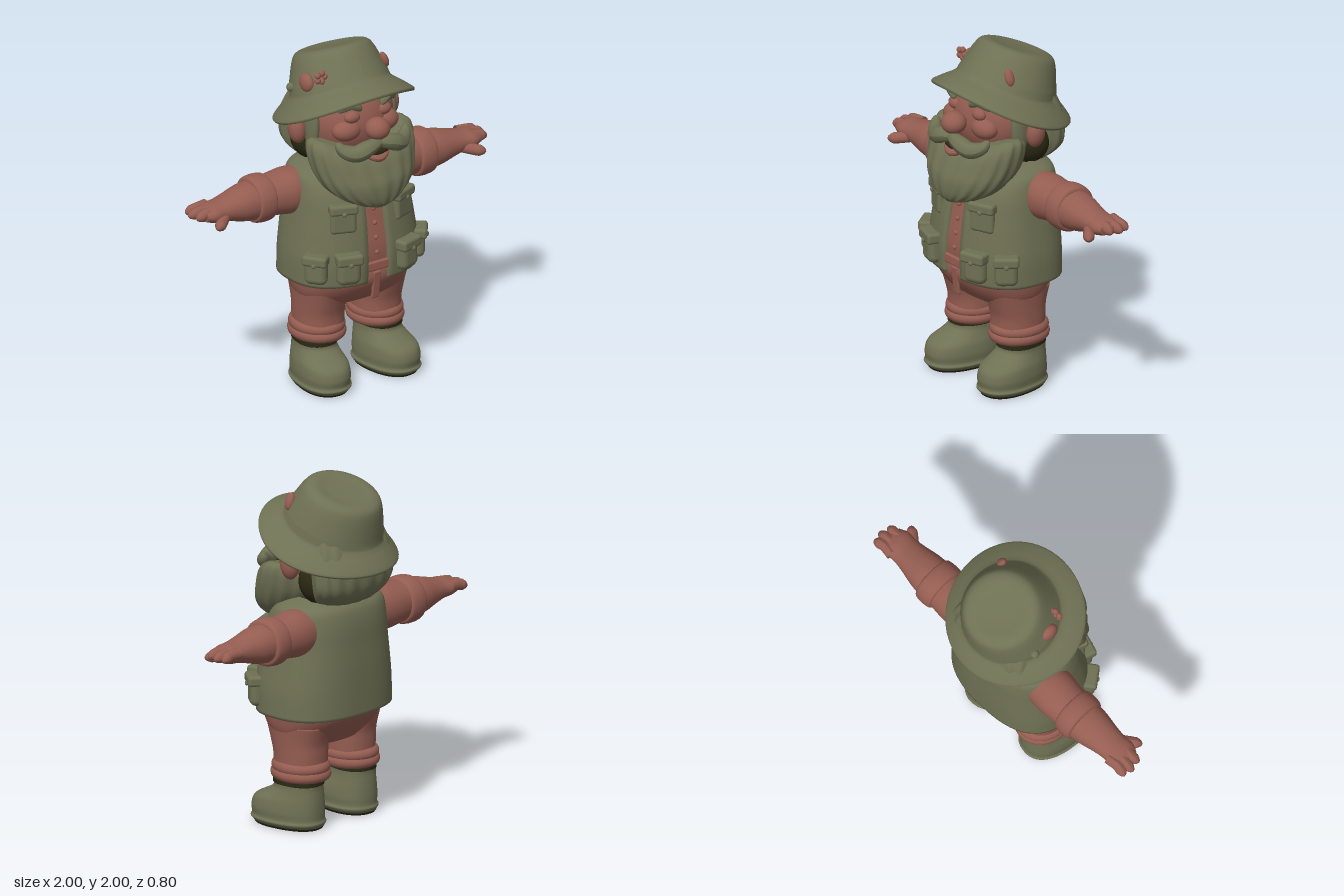
import * as THREE from 'three';
import { RoundedBoxGeometry } from 'three/addons/geometries/RoundedBoxGeometry.js';

const mat = (name, color) => Object.assign(new THREE.MeshStandardMaterial({ color, side: THREE.DoubleSide }), { name });
const spow = (v, e) => Math.sign(v) * Math.abs(v) ** e;

// Smooth grid of vertices from fn(column, row) -> [x, y, z]
function grid(nu, nv, fn, wrap) {
  const pos = [], idx = [], cols = wrap ? nu : nu + 1;
  for (let j = 0; j <= nv; j++) for (let i = 0; i < cols; i++) pos.push(...fn(i, j));
  for (let j = 0; j < nv; j++) for (let i = 0; i < nu; i++) {
    const k = (i + 1) % cols, a = j * cols + i, b = j * cols + k, c = b + cols, d = a + cols;
    idx.push(a, b, c, a, c, d);
  }
  const g = new THREE.BufferGeometry();
  g.setAttribute('position', new THREE.Float32BufferAttribute(pos, 3));
  g.setIndex(idx);
  g.computeVertexNormals();
  return g;
}

// Catmull-Rom blend of rings [y, halfWidth, zFront, zBack], u in 0..1
function ringAt(rings, u) {
  const f = u * (rings.length - 1), i = Math.min(Math.floor(f), rings.length - 2), t = f - i;
  const R = k => rings[Math.max(0, Math.min(rings.length - 1, k))];
  return R(i).map((b, c) => {
    const a = R(i - 1)[c], d = R(i + 1)[c], e = R(i + 2)[c];
    return b + 0.5 * t * (d - a + t * (2 * a - 5 * b + 4 * d - e + t * (3 * (b - d) + e - a)));
  });
}
const ringPoint = ([y, w, zf, zb], t, e, k = 1) =>
  [k * w * spow(Math.sin(t), e), y, (zf + zb) / 2 + k * (zf - zb) / 2 * spow(Math.cos(t), e)];

// Closed body through the rings
function loft(rings, e = 0.9, warp = (p) => p, n = 48) {
  const nv = rings.length * 5;
  return grid(n, nv + 2, (i, j) => {
    const v = Math.max(0, Math.min(nv, j - 1)), t = i / n * Math.PI * 2;
    const k = j === 0 || j === nv + 2 ? 0.001 : 1;
    return warp(ringPoint(ringAt(rings, v / nv), t, e, k), t);
  }, true);
}

// Tube along points whose radius swells and tapers
function taper(points, r, shape = u => Math.sqrt(Math.sin(Math.PI * u)), flat = 1) {
  const path = new THREE.CatmullRomCurve3(points.map(p => new THREE.Vector3(...p)));
  const seg = 24, rad = 12, g = new THREE.TubeGeometry(path, seg, r, rad), a = g.attributes.position;
  const v = new THREE.Vector3();
  for (let i = 0; i <= seg; i++) {
    const c = path.getPointAt(i / seg), f = Math.max(0.01, shape(i / seg));
    for (let j = 0; j <= rad; j++) {
      const k = i * (rad + 1) + j;
      v.fromBufferAttribute(a, k).sub(c).multiplyScalar(f);
      v.z *= flat;
      v.add(c);
      a.setXYZ(k, v.x, v.y, v.z);
    }
  }
  g.computeVertexNormals();
  return g;
}
const finger = u => Math.min(1, Math.sqrt(Math.max(0, (1 - u) * 4)));

export function createModel() {
  const root = new THREE.Group();
  const olive = mat('olive', 0x6f7154), skin = mat('terracotta', 0x955d51), dark = mat('darkOlive', 0x2b2914);
  const add = (name, geo, m, p = [0, 0, 0], parent = root) => {
    const o = new THREE.Mesh(geo, m);
    o.name = name;
    o.position.set(...p);
    parent.add(o);
    return o;
  };
  const ball = (name, m, p, r, parent) => {
    const o = add(name, new THREE.SphereGeometry(1, 32, 20), m, p, parent);
    o.scale.set(...r);
    return o;
  };
  const group = (name, p, parent = root) => {
    const g = new THREE.Group();
    g.name = name;
    g.position.set(...p);
    parent.add(g);
    return g;
  };

  // Trousers seat and shirt
  add('trousers', loft([[0.48, 0.22, 0.15, -0.12], [0.54, 0.325, 0.24, -0.17], [0.65, 0.36, 0.315, -0.25],
    [0.75, 0.355, 0.31, -0.25], [0.85, 0.33, 0.29, -0.24]], 0.88), skin);
  add('fly', new RoundedBoxGeometry(0.05, 0.17, 0.02, 3, 0.009), skin, [0, 0.63, 0.305]).rotation.x = 0.12;
  add('shirt', loft([[0.72, 0.36, 0.31, -0.25], [0.85, 0.36, 0.315, -0.25], [1.0, 0.34, 0.29, -0.25],
    [1.2, 0.31, 0.24, -0.23], [1.28, 0.2, 0.15, -0.16]], 0.8), skin);
  add('belt', new RoundedBoxGeometry(0.17, 0.055, 0.03, 3, 0.01), skin, [0, 0.75, 0.315]);
  for (let i = 0; i < 4; i++) ball('shirtButton', skin, [0, 0.83 + i * 0.085, 0.316 - i * 0.011], [0.014, 0.014, 0.012]);

  // Open vest with turned-in hem and front edges
  const vestRings = [[0.66, 0.4, 0.33, -0.28], [0.8, 0.397, 0.337, -0.28], [0.93, 0.38, 0.325, -0.278], [1.06, 0.362, 0.305, -0.272],
    [1.19, 0.345, 0.27, -0.265], [1.28, 0.315, 0.2, -0.24], [1.325, 0.21, 0.12, -0.18]];
  const vestPoint = (t, u, k) => ringPoint(ringAt(vestRings, u), t, 0.8, k);
  const gap = 0.115, nu = 80, nv = 36;
  add('vest', grid(nu + 2, nv + 1, (i, j) => {
    const t = gap + Math.max(0, Math.min(nu, i - 1)) / nu * (2 * Math.PI - 2 * gap);
    const inside = i === 0 || i === nu + 2 || j === 0;
    return vestPoint(t, Math.max(0, j - 1) / nv, inside ? 0.92 : 1);
  }, false), olive);

  // Pockets set square to the vest surface
  function pocket(s, x, y, w, h, depth) {
    const u = (y - 0.66) / (0.13 * 6), ring = ringAt(vestRings, u);
    const t = Math.asin((x / ring[1]) ** 1.25);
    const p = vestPoint(t, u), q = vestPoint(t + 0.02, u);
    const g = group('pocket', [s * p[0], y, p[2]]);
    g.rotation.y = s * Math.atan2(p[2] - q[2], q[0] - p[0]);
    add('pouch', new RoundedBoxGeometry(w, h, depth, 4, depth * 0.45), olive, [0, -0.01, 0], g);
    add('flap', new RoundedBoxGeometry(w + 0.015, h * 0.38, depth + 0.02, 4, 0.018), olive, [0, h * 0.36, 0.004], g);
    ball('button', olive, [0, h * 0.22, depth / 2 + 0.012], [0.014, 0.014, 0.01], g);
  }

  for (const s of [1, -1]) {
    pocket(s, 0.2, 1.07, 0.15, 0.16, 0.05);
    pocket(s, 0.195, 0.78, 0.14, 0.17, 0.09);
    pocket(s, 0.345, 0.78, 0.13, 0.16, 0.08);

    // Leg and rolled cuff
    add('leg', loft([[0.3, 0.135, 0.165, -0.14], [0.42, 0.138, 0.165, -0.145], [0.5, 0.142, 0.185, -0.15],
      [0.6, 0.15, 0.22, -0.18]]), skin, [s * 0.193, 0, 0.01]);
    for (const [y, r] of [[0.31, 0.122], [0.352, 0.117]]) {
      const cuff = add('trouserCuff', new THREE.TorusGeometry(r, 0.036, 14, 40), skin, [s * 0.197, y, 0.015]);
      cuff.rotation.x = Math.PI / 2;
      cuff.scale.y = 1.14;
    }

    // Boot, toes turned slightly out
    const boot = group('boot', [s * 0.215, 0, 0.015], root);
    boot.rotation.y = s * 0.13;
    add('bootBody', loft([[0.012, 0.13, 0.275, -0.145], [0.035, 0.148, 0.296, -0.157], [0.055, 0.14, 0.288, -0.15],
      [0.1, 0.143, 0.292, -0.15], [0.155, 0.137, 0.27, -0.148], [0.198, 0.123, 0.19, -0.145],
      [0.235, 0.115, 0.142, -0.142], [0.28, 0.115, 0.145, -0.145]], 0.86), olive, [0, 0, 0], boot);
    add('sole', loft([[0, 0.125, 0.27, -0.14], [0.014, 0.135, 0.28, -0.148]], 0.86), dark, [0, 0, 0], boot);
    add('bootLining', loft([[0.255, 0.117, 0.147, -0.147], [0.285, 0.117, 0.147, -0.147]], 0.86), dark, [0, 0, 0], boot);

    // Arm lofted along x
    const arm = group('arm', [0, 1.16, -0.06]);
    const limb = (name, rings) => { add(name, loft(rings, 0.95), skin, [0, 0, 0], arm).rotation.z = -s * Math.PI / 2; };
    limb('sleeve', [[0.26, 0.125, 0.125, -0.125], [0.35, 0.132, 0.132, -0.132], [0.43, 0.122, 0.122, -0.13], [0.52, 0.112, 0.11, -0.12]]);
    limb('sleeveCuff', [[0.488, 0.115, 0.11, -0.12], [0.5, 0.132, 0.128, -0.138], [0.545, 0.137, 0.132, -0.145],
      [0.592, 0.13, 0.126, -0.14], [0.604, 0.112, 0.11, -0.12]]);
    limb('forearmAndHand', [[0.57, 0.112, 0.115, -0.125], [0.66, 0.102, 0.11, -0.115], [0.75, 0.078, 0.095, -0.095],
      [0.82, 0.06, 0.088, -0.085], [0.88, 0.052, 0.09, -0.088], [0.93, 0.036, 0.07, -0.075]]);
    [[0.985, -0.064, -0.072], [1, -0.02, -0.015], [0.985, 0.03, 0.042]].forEach(([x, z, z0]) =>
      add('finger', taper([[s * 0.85, 0.015, z0], [s * 0.92, 0.012, z], [s * x, -0.005, z * 1.2]], 0.032, finger), skin, [0, 0, 0], arm));
    add('thumb', taper([[s * 0.8, -0.02, 0.05], [s * 0.86, -0.035, 0.1], [s * 0.91, -0.045, 0.138]], 0.032, finger), skin, [0, 0, 0], arm);

    // Ear, cheek, closed eye, brow, sideburn
    ball('ear', skin, [s * 0.315, 1.54, -0.01], [0.05, 0.085, 0.055]).rotation.z = -s * 0.15;
    ball('cheek', skin, [s * 0.125, 1.565, 0.2], [0.09, 0.065, 0.07]);
    ball('eyelid', skin, [s * 0.105, 1.645, 0.225], [0.05, 0.035, 0.035]);
    add('eyebrow', taper([[s * 0.065, 1.69, 0.262], [s * 0.12, 1.73, 0.245], [s * 0.19, 1.685, 0.205]], 0.032,
      u => Math.sqrt(Math.sin(Math.PI * u)) * (1.05 - 0.3 * u)), olive);
    ball('sideburn', olive, [s * 0.26, 1.58, 0.055], [0.035, 0.16, 0.06]);
    add('moustache', taper([[0, 1.51, 0.335], [s * 0.07, 1.495, 0.345], [s * 0.15, 1.468, 0.325], [s * 0.21, 1.49, 0.285],
      [s * 0.235, 1.535, 0.255]], 0.05, u => u < 0.35 ? 0.65 + u : Math.sqrt(1 - ((u - 0.35) / 0.65) ** 2)), olive);
    ball('neckShade', dark, [s * 0.12, 1.44, -0.09], [0.165, 0.15, 0.12]);
  }

  // Head, nose and mouth
  ball('head', skin, [0, 1.58, 0.03], [0.265, 0.25, 0.235]);
  ball('nose', skin, [0, 1.585, 0.32], [0.072, 0.064, 0.072]);
  ball('mouth', dark, [0, 1.443, 0.325], [0.07, 0.022, 0.02]);
  add('lowerLip', taper([[-0.08, 1.437, 0.318], [0, 1.412, 0.342], [0.08, 1.437, 0.318]], 0.022), skin);

  // Beard with soft locks, rising toward the ears
  add('beard', loft([[1.12, 0.05, 0.36, 0.26], [1.15, 0.14, 0.388, 0.18], [1.2, 0.225, 0.4, 0.1], [1.27, 0.29, 0.398, 0.02],
    [1.33, 0.322, 0.375, -0.03], [1.39, 0.335, 0.345, -0.045], [1.43, 0.325, 0.31, -0.04], [1.455, 0.29, 0.27, -0.02]], 0.95,
  ([x, y, z], t) => {
    const k = 1 + 0.013 * Math.cos(18 * t);
    return [x * k, y + Math.max(0, y - 1.25) * 4 * x * x, 0.15 + (z - 0.15) * k];
  }, 144), olive);

  // Hair at the back of the head
  add('hair', loft([[1.29, 0.12, -0.06, -0.2], [1.32, 0.21, 0, -0.26], [1.4, 0.275, -0.06, -0.31], [1.5, 0.29, -0.06, -0.32],
    [1.6, 0.28, -0.04, -0.31], [1.7, 0.25, 0, -0.27]], 0.9, ([x, y, z], t) => {
    const k = 1 + 0.012 * Math.cos(16 * t);
    return [x * k, y, z * k];
  }, 128), olive);

  // Bucket hat tipped back, sides of the brim drooping
  const hat = group('hat', [0, 1.65, -0.02]);
  hat.rotation.x = -0.375;
  const profile = new THREE.SplineCurve([[0.24, 0.06], [0.32, 0.025], [0.385, -0.015], [0.402, -0.008], [0.398, 0.008], [0.35, 0.045],
    [0.305, 0.075], [0.285, 0.1], [0.262, 0.17], [0.236, 0.245], [0.21, 0.287], [0.165, 0.302], [0.1, 0.296], [0.001, 0.294]]
    .map(p => new THREE.Vector2(...p))).getPoints(60);
  const hatGeo = new THREE.LatheGeometry(profile, 64), hp = hatGeo.attributes.position;
  for (let i = 0; i < hp.count; i++) {
    const x = hp.getX(i);
    if (hp.getY(i) < 0.1) hp.setY(i, hp.getY(i) - 0.3 * x * x);
  }
  hatGeo.computeVertexNormals();
  add('hatShell', hatGeo, olive, [0, 0, 0], hat);

  // Small ornaments on the hat
  ball('hatBerry', skin, [-0.255, 1.81, 0.0], [0.035, 0.055, 0.055]);
  const flower = group('hatFlower', [-0.222, 1.865, 0.09]);
  for (let i = 0; i < 5; i++) {
    const a = i * Math.PI * 0.4;
    ball('petal', skin, [Math.cos(a) * 0.026, Math.sin(a) * 0.026, 0], [0.018, 0.018, 0.016], flower);
  }
  ball('hatFeather', skin, [0.208, 1.865, 0.09], [0.022, 0.05, 0.028]).rotation.z = 0.35;
  ball('hatKnot', olive, [-0.272, 1.74, -0.13], [0.025, 0.025, 0.025]);
  return root;
}
